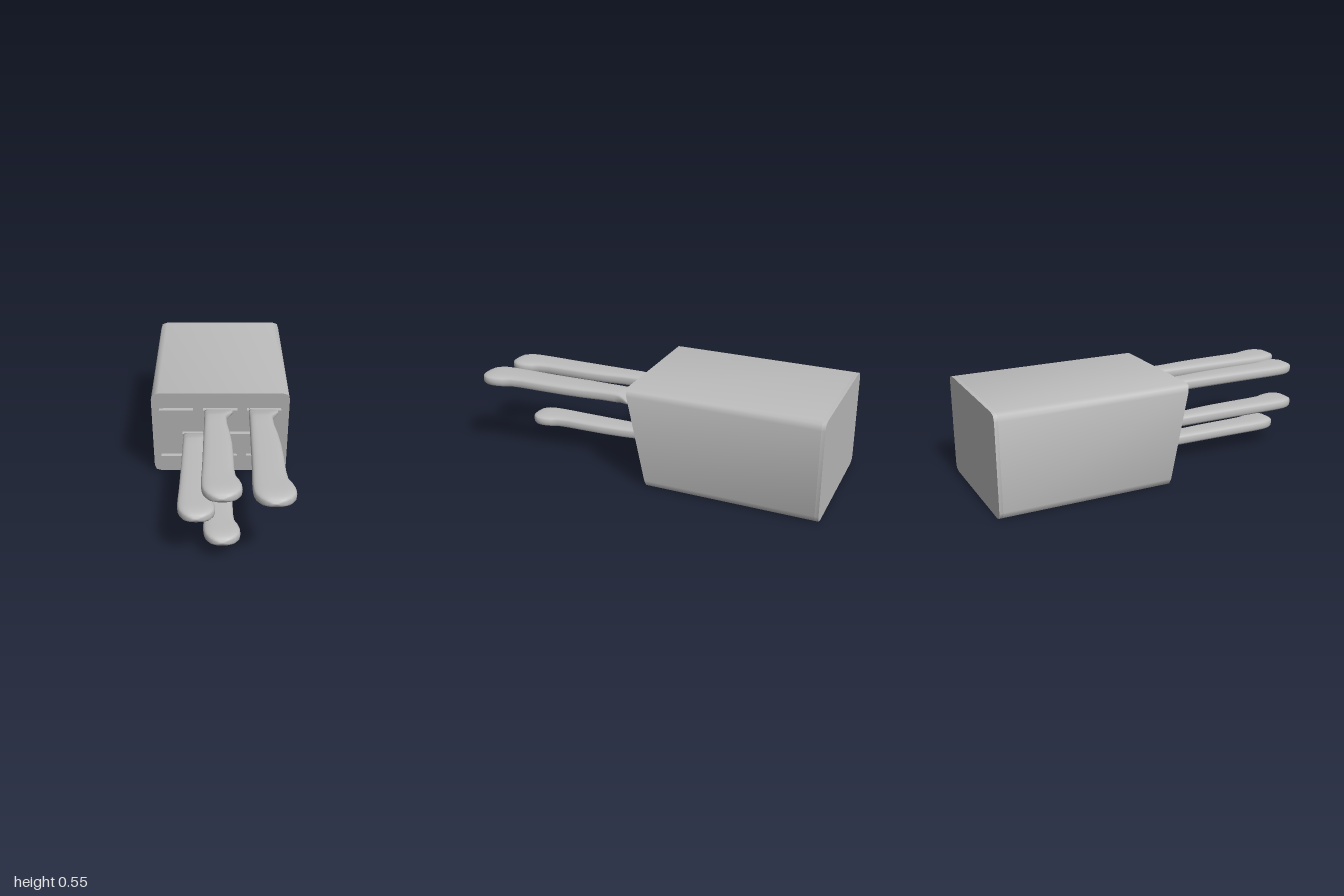
import * as THREE from 'three';
import { toCreasedNormals } from 'three/addons/utils/BufferGeometryUtils.js';

const H = 0.55;
const frontZ = (y) => -0.055 + 0.115 * (y / H); // leaning front face

// handle stations: distance from block, left x, right x, half thickness
const STATIONS = [
  [0, -0.093, 0.067, 0.006],
  [0.03, -0.093, 0.067, 0.013],
  [0.06, -0.094, 0.05, 0.021],
  [0.09, -0.095, 0.036, 0.028],
  [0.12, -0.095, 0.032, 0.033],
  [0.2, -0.095, 0.036, 0.033],
  [0.3, -0.096, 0.05, 0.033],
  [0.42, -0.097, 0.06, 0.033],
  [0.55, -0.098, 0.064, 0.033],
  [0.68, -0.1, 0.066, 0.033],
  [0.75, -0.102, 0.072, 0.033],
  [0.79, -0.103, 0.09, 0.033],
  [0.83, -0.102, 0.101, 0.033],
  [0.86, -0.099, 0.103, 0.033],
  [0.89, -0.09, 0.098, 0.032],
  [0.92, -0.07, 0.078, 0.028],
  [0.94, -0.045, 0.05, 0.019],
  [0.95, -0.018, 0.015, 0.006],
];

// slot rows: height, then [left, right] pairs
const SLOTS = [
  [0.443, [[-0.34, -0.15], [-0.095, 0.095], [0.147, 0.337]]],
  [0.278, [[-0.213, -0.033], [0.03, 0.21]]],
  [0.117, [[-0.34, -0.15], [-0.095, 0.095], [0.147, 0.337]]],
];

// knives: x, y, scale
const KNIVES = [
  [0.25, 0.443, 1],
  [0.003, 0.443, 0.957],
  [-0.121, 0.278, 0.907],
  [0.004, 0.117, 0.905],
];

function blockOutline() {
  const w = 0.38;
  const s = new THREE.Shape();
  s.setFromPoints([
    [w - 0.04, 0], [w - 0.01, 0.01], [w, 0.04],
    [w, H - 0.04], [w - 0.01, H - 0.01], [w - 0.04, H],
    [-w + 0.04, H], [-w + 0.01, H - 0.01], [-w, H - 0.04],
    [-w, 0.04], [-w + 0.01, 0.01], [-w + 0.04, 0],
  ].map(([x, y]) => new THREE.Vector2(x, y)));
  return s;
}

function bodyGeometry() {
  const shape = blockOutline();
  for (const [y, spans] of SLOTS) {
    for (const [a, b] of spans) {
      const hole = new THREE.Path();
      hole.moveTo(a, y - 0.008).lineTo(a, y + 0.008);
      hole.lineTo(b, y + 0.008).lineTo(b, y - 0.008).closePath();
      shape.holes.push(hole);
    }
  }
  const geo = new THREE.ExtrudeGeometry(shape, { depth: 1, bevelEnabled: false });
  const p = geo.attributes.position;
  for (let i = 0; i < p.count; i++) {
    p.setZ(i, p.getZ(i) > 0.5 ? frontZ(p.getY(i)) : -0.98);
  }
  return toCreasedNormals(geo, 1);
}

// loft of rounded cross-sections along z
function handleGeometry(scale) {
  const N = 24;
  const pos = [];
  const idx = [];
  const soft = (v) => Math.sign(v) * Math.pow(Math.abs(v), 0.6);
  for (const [d, l, r, h] of STATIONS) {
    for (let j = 0; j < N; j++) {
      const t = (j / N) * Math.PI * 2;
      const x = (l + r) / 2 + ((r - l) / 2) * soft(Math.cos(t));
      pos.push(x * scale, h * soft(Math.sin(t)), d * scale);
    }
  }
  const last = STATIONS.length - 1;
  for (let i = 0; i < last; i++) {
    for (let j = 0; j < N; j++) {
      const k = (j + 1) % N;
      const a = i * N + j, b = i * N + k, c = b + N, d = a + N;
      idx.push(a, b, c, a, c, d);
    }
  }
  // end caps
  for (let j = 1; j < N - 1; j++) {
    idx.push(0, j + 1, j);
    idx.push(last * N, last * N + j, last * N + j + 1);
  }
  const geo = new THREE.BufferGeometry();
  geo.setAttribute('position', new THREE.Float32BufferAttribute(pos, 3));
  geo.setIndex(idx);
  geo.computeVertexNormals();
  return geo;
}

export function createModel() {
  const model = new THREE.Group();
  model.name = 'knifeBlock';
  const grey = new THREE.MeshStandardMaterial({ color: 0xbcbcbc });
  grey.name = 'grey';

  const add = (parent, name, geo) => {
    const mesh = new THREE.Mesh(geo, grey);
    mesh.name = name;
    parent.add(mesh);
    return mesh;
  };

  // slotted block, closed by a back panel
  add(model, 'block', bodyGeometry());
  const back = new THREE.ExtrudeGeometry(blockOutline(), { depth: 0.02, bevelEnabled: false });
  add(model, 'backPanel', toCreasedNormals(back, 1)).position.z = -1;

  // knives: handle outside, blade inside its slot
  KNIVES.forEach(([x, y, s], i) => {
    const knife = new THREE.Group();
    knife.name = `knife${i + 1}`;
    knife.position.set(x, y, frontZ(y) + 0.013);
    add(knife, 'handle', handleGeometry(s));
    const blade = add(knife, 'blade', new THREE.BoxGeometry(0.15 * s, 0.008, 0.7 * s));
    blade.position.set(-0.013 * s, 0, -0.34 * s);
    model.add(knife);
  });
  return model;
}
